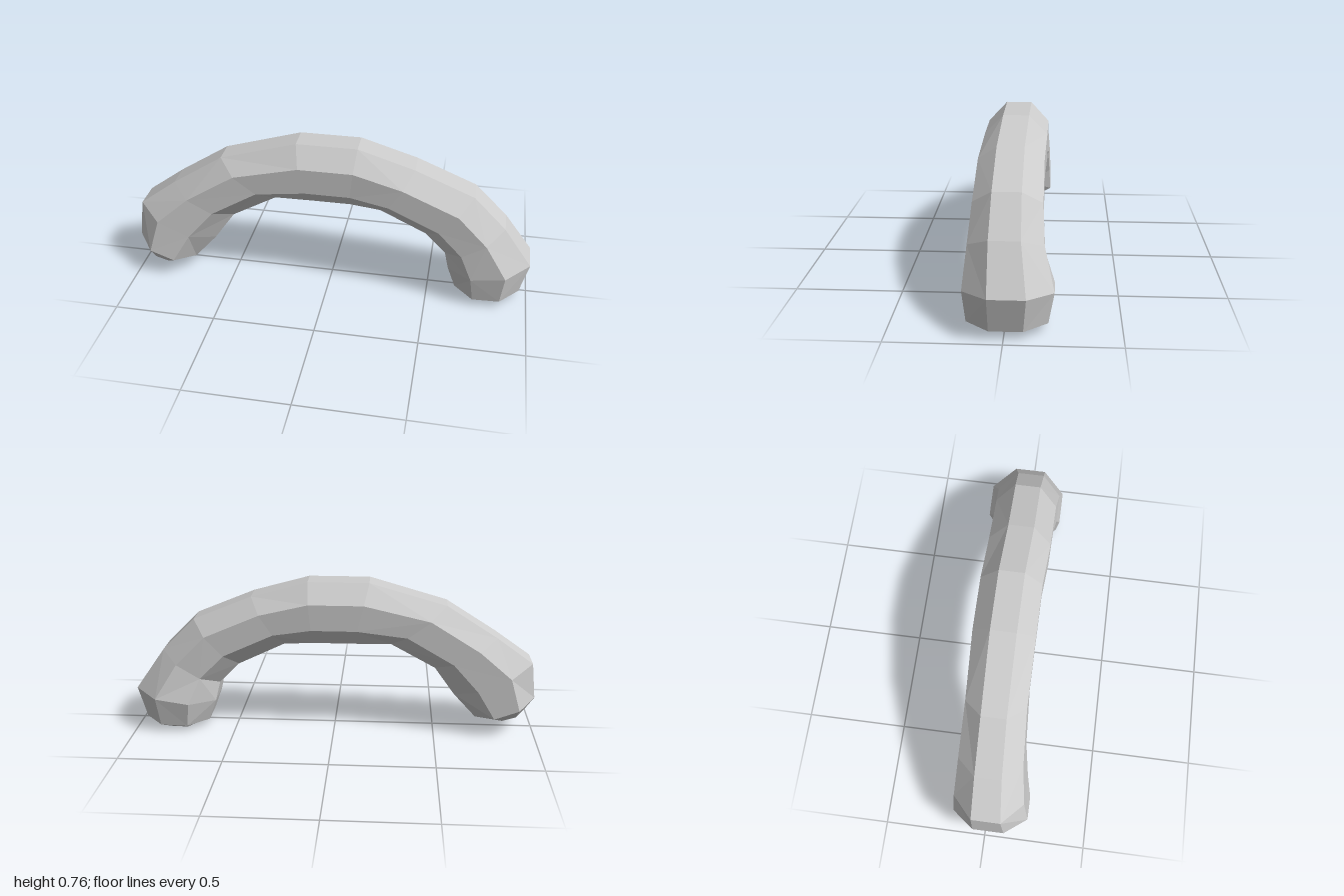
import * as THREE from 'three';

const SIDES = 8;

// Cross-sections along the arch:
// outer x, outer y, inner x, inner y, centre z, half depth
const SECTIONS = [
  [-0.96, 0.09, -0.8, 0.04, 0.04, 0.11],
  [-1.0, 0.18, -0.71, 0.07, 0.02, 0.185],
  [-0.98, 0.36, -0.6, 0.19, 0.01, 0.17],
  [-0.8, 0.49, -0.5, 0.33, 0, 0.155],
  [-0.55, 0.65, -0.28, 0.45, -0.005, 0.145],
  [-0.17, 0.76, -0.09, 0.45, -0.01, 0.15],
  [0.13, 0.76, 0.1, 0.45, -0.01, 0.15],
  [0.41, 0.68, 0.25, 0.44, 0, 0.153],
  [0.7, 0.56, 0.48, 0.33, 0, 0.155],
  [0.86, 0.4, 0.58, 0.23, 0, 0.165],
  [1.0, 0.2, 0.6, 0.14, -0.015, 0.195],
  [0.96, 0.04, 0.64, 0.03, -0.01, 0.175],
  [0.86, 0, 0.7, 0, -0.01, 0.11],
];

// Faceted tube lofted through the octagonal cross-sections
function loftGeometry() {
  const positions = [];
  const index = [];
  const scale = 1 / Math.cos(Math.PI / SIDES); // flats touch the given limits
  for (const [ox, oy, ix, iy, cz, h] of SECTIONS) {
    for (let j = 0; j < SIDES; j++) {
      const angle = ((j + 0.5) / SIDES) * Math.PI * 2;
      const u = (Math.cos(angle) * scale) / 2;
      positions.push(
        (ox + ix) / 2 + (ox - ix) * u,
        (oy + iy) / 2 + (oy - iy) * u,
        cz + Math.sin(angle) * scale * h,
      );
    }
  }

  // Side facets, with alternating diagonals for an irregular carved look
  for (let i = 0; i < SECTIONS.length - 1; i++) {
    for (let j = 0; j < SIDES; j++) {
      const a = i * SIDES + j;
      const b = i * SIDES + ((j + 1) % SIDES);
      const c = a + SIDES;
      const d = b + SIDES;
      if ((i + j) % 2) index.push(a, b, c, b, d, c);
      else index.push(a, b, d, a, d, c);
    }
  }

  // End caps
  const last = (SECTIONS.length - 1) * SIDES;
  for (let j = 1; j < SIDES - 1; j++) {
    index.push(0, j + 1, j);
    index.push(last, last + j, last + j + 1);
  }

  const indexed = new THREE.BufferGeometry();
  indexed.setAttribute('position', new THREE.Float32BufferAttribute(positions, 3));
  indexed.setIndex(index);
  const geometry = indexed.toNonIndexed();
  geometry.computeVertexNormals();
  return geometry;
}

export function createModel() {
  const group = new THREE.Group();
  group.name = 'archedBar';
  const material = new THREE.MeshStandardMaterial({ color: 0xcccccc, flatShading: true });
  const body = new THREE.Mesh(loftGeometry(), material);
  body.name = 'curvedBody';
  group.add(body);
  return group;
}
